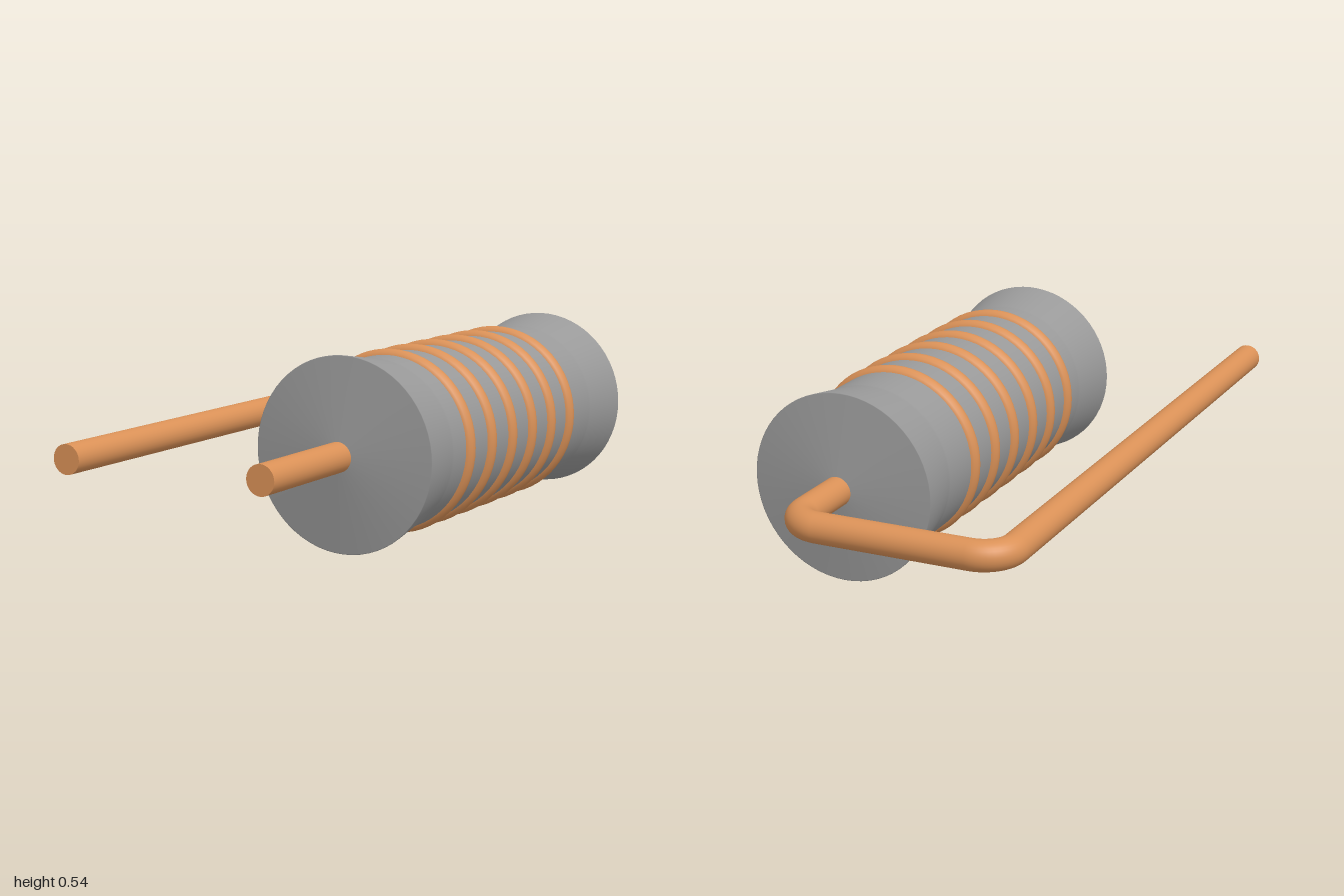
import * as THREE from 'three';
import { mergeGeometries } from 'three/addons/utils/BufferGeometryUtils.js';

const AXIS_X = 0.191, AXIS_Y = 0.272;
const WIRE_R = 0.042, LEG_X = -0.421, BACK_Z = -0.958, BEND = 0.085;

export function createModel() {
  const model = new THREE.Group();
  const grey = new THREE.MeshStandardMaterial({ color: 0x999999 });
  const copper = new THREE.MeshStandardMaterial({ color: 0xda9157 });

  const add = (parent, name, geometry, material) => {
    const mesh = new THREE.Mesh(geometry, material);
    mesh.name = name;
    parent.add(mesh);
    return mesh;
  };

  // Resistor body: waisted barrel with shallow conical ends. Close pairs of
  // points keep the caps and the waist flat while the flares shade softly.
  const body = new THREE.Group();
  body.name = 'resistorBody';
  body.position.set(AXIS_X, AXIS_Y, 0);
  model.add(body);
  const profile = [
    [0, -0.706], [0.27, -0.6723], [0.272, -0.672],
    [0.246, -0.51], [0.246, -0.5], [0.246, 0.415], [0.246, 0.425],
    [0.272, 0.59], [0.27, 0.5903], [0, 0.624]
  ].map(([r, z]) => new THREE.Vector2(r, z));
  add(body, 'barrel', new THREE.LatheGeometry(profile, 64).rotateX(Math.PI / 2), grey);

  // Raised bands around the barrel
  for (let i = 0; i < 6; i++) {
    const band = add(body, 'band' + (i + 1), new THREE.TorusGeometry(0.236, 0.025, 16, 64), copper);
    band.position.z = 0.32 - i * 0.133;
  }

  // Lead wire: through the body, around two bends and back to the front
  const at = (x, z) => new THREE.Vector3(x, AXIS_Y, z);
  const line = (a, b) => new THREE.LineCurve3(a, b);
  const bend = (a, corner, b) => new THREE.CubicBezierCurve3(
    a, a.clone().lerp(corner, 0.5523), b.clone().lerp(corner, 0.5523), b);

  const a = at(AXIS_X, 1), b = at(AXIS_X, BACK_Z + BEND), c = at(AXIS_X - BEND, BACK_Z);
  const d = at(LEG_X + BEND, BACK_Z), e = at(LEG_X, BACK_Z + BEND), f = at(LEG_X, 1);
  const path = [
    line(a, b), bend(b, at(AXIS_X, BACK_Z), c),
    line(c, d), bend(d, at(LEG_X, BACK_Z), e), line(e, f)];
  const pieces = path.map((curve) => new THREE.TubeGeometry(
    curve, curve.isLineCurve3 ? 1 : 12, WIRE_R, 32));

  // Flat cut ends of the wire
  for (const x of [AXIS_X, LEG_X]) {
    pieces.push(new THREE.CircleGeometry(WIRE_R, 32).translate(x, AXIS_Y, 1));
  }
  add(model, 'leadWire', mergeGeometries(pieces), copper);

  return model;
}
